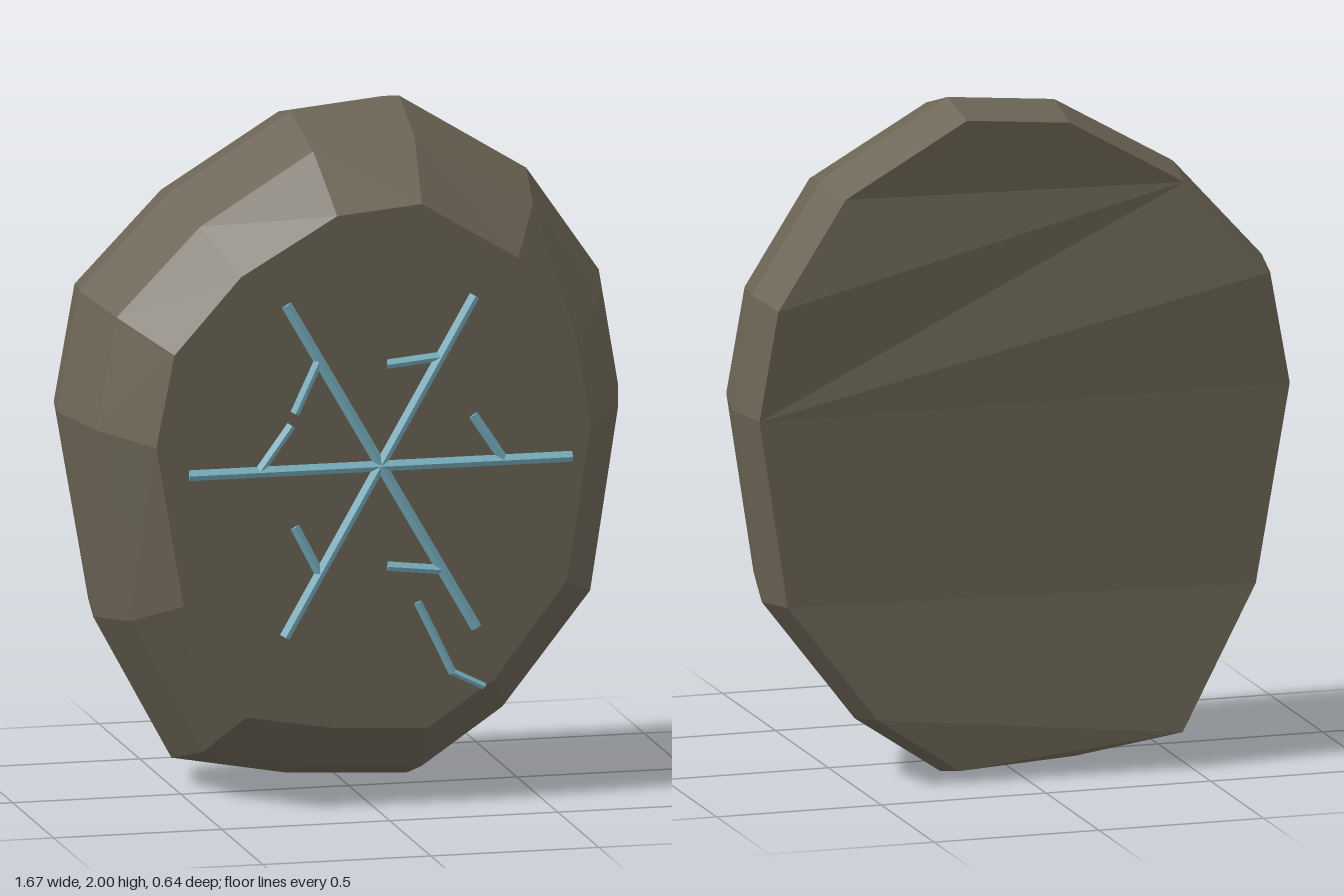
import * as THREE from 'three';

const stone = new THREE.MeshStandardMaterial({ color: 0x6b6455, flatShading: true });
stone.name = 'stone';
const ice = new THREE.MeshStandardMaterial({ color: 0x7ab2c2, flatShading: true });
ice.name = 'paleBlue';

// Widest outline, clockwise from the top: x, y, depth shift of that column
const OUTLINE = [
  [0.185, 2.0, -0.015], [0.555, 1.775, 0.02], [0.78, 1.455, -0.02], [0.833, 1.115, 0],
  [0.74, 0.535, 0.012], [0.465, 0.175, -0.01], [0.205, 0.0, -0.005], [-0.16, 0.02, 0],
  [-0.49, 0.075, -0.025], [-0.73, 0.51, 0.005], [-0.835, 1.12, 0], [-0.765, 1.47, -0.025],
  [-0.51, 1.755, 0.02], [-0.14, 1.97, -0.01],
];
// Rings from front to back: scale, z, share of the depth shift
const RINGS = [[0.775, 0.305, 0], [0.93, 0.11, 1], [1, -0.13, 1], [0.965, -0.295, 1]];

function stoneGeometry() {
  const n = OUTLINE.length, pos = [], idx = [];
  for (const [s, z, k] of RINGS)
    for (const [x, y, d] of OUTLINE) pos.push(x * s, 1 + (y - 1) * s, z + d * k);
  // side facets
  for (let r = 0; r < RINGS.length - 1; r++)
    for (let i = 0; i < n; i++) {
      const a = r * n + i, b = r * n + (i + 1) % n;
      idx.push(a, b, a + n, b, b + n, a + n);
    }
  // flat front
  for (let i = 1; i < n - 1; i++) idx.push(0, i + 1, i);
  // uneven back, triangulated from side to side
  const back = [[13, 0, 1], [12, 13, 1], [12, 1, 2], [12, 2, 3], [12, 3, 11], [11, 3, 10],
    [10, 3, 4], [10, 4, 9], [9, 4, 5], [9, 5, 8], [8, 5, 6], [8, 6, 7]];
  const o = (RINGS.length - 1) * n;
  for (const t of back) idx.push(...t.map((i) => o + i));
  const g = new THREE.BufferGeometry();
  g.setAttribute('position', new THREE.Float32BufferAttribute(pos, 3));
  g.setIndex(idx);
  const flat = g.toNonIndexed();
  flat.computeVertexNormals();
  return flat;
}

// Ridged four-sided bar lying on the front face
function bar(name, x1, y1, x2, y2, r = 0.016) {
  const dx = x2 - x1, dy = y2 - y1;
  const g = new THREE.CylinderGeometry(r, r, Math.hypot(dx, dy), 4);
  g.scale(1, 1, 0.8);
  const m = new THREE.Mesh(g, ice);
  m.position.set((x1 + x2) / 2, (y1 + y2) / 2, 0.305);
  m.rotation.z = Math.atan2(-dx, dy);
  m.name = name;
  return m;
}

export function createModel() {
  const model = new THREE.Group();
  model.name = 'carvedStone';
  const body = new THREE.Mesh(stoneGeometry(), stone);
  body.name = 'stoneBody';
  model.add(body);

  const mark = new THREE.Group();
  mark.name = 'snowflake';
  // three long crossing arms
  for (const a of [[-0.55, 1.007, 0.59, 1.007], [-0.26, 1.497, 0.305, 0.515], [0.3, 1.497, -0.265, 0.515]])
    mark.add(bar('arm', ...a));
  // one twig on each arm
  for (const t of [[0.04, 1.307, 0.2, 1.322], [0.295, 1.145, 0.385, 1.01], [0.04, 0.71, 0.2, 0.692],
    [-0.235, 0.84, -0.16, 0.695], [-0.245, 1.14, -0.34, 1.01], [-0.165, 1.325, -0.235, 1.175]])
    mark.add(bar('twig', ...t, 0.014));
  // loose crooked line near the lower edge
  mark.add(bar('crackUpper', 0.13, 0.6, 0.235, 0.385, 0.012));
  mark.add(bar('crackLower', 0.23, 0.39, 0.33, 0.34, 0.01));
  model.add(mark);
  return model;
}
